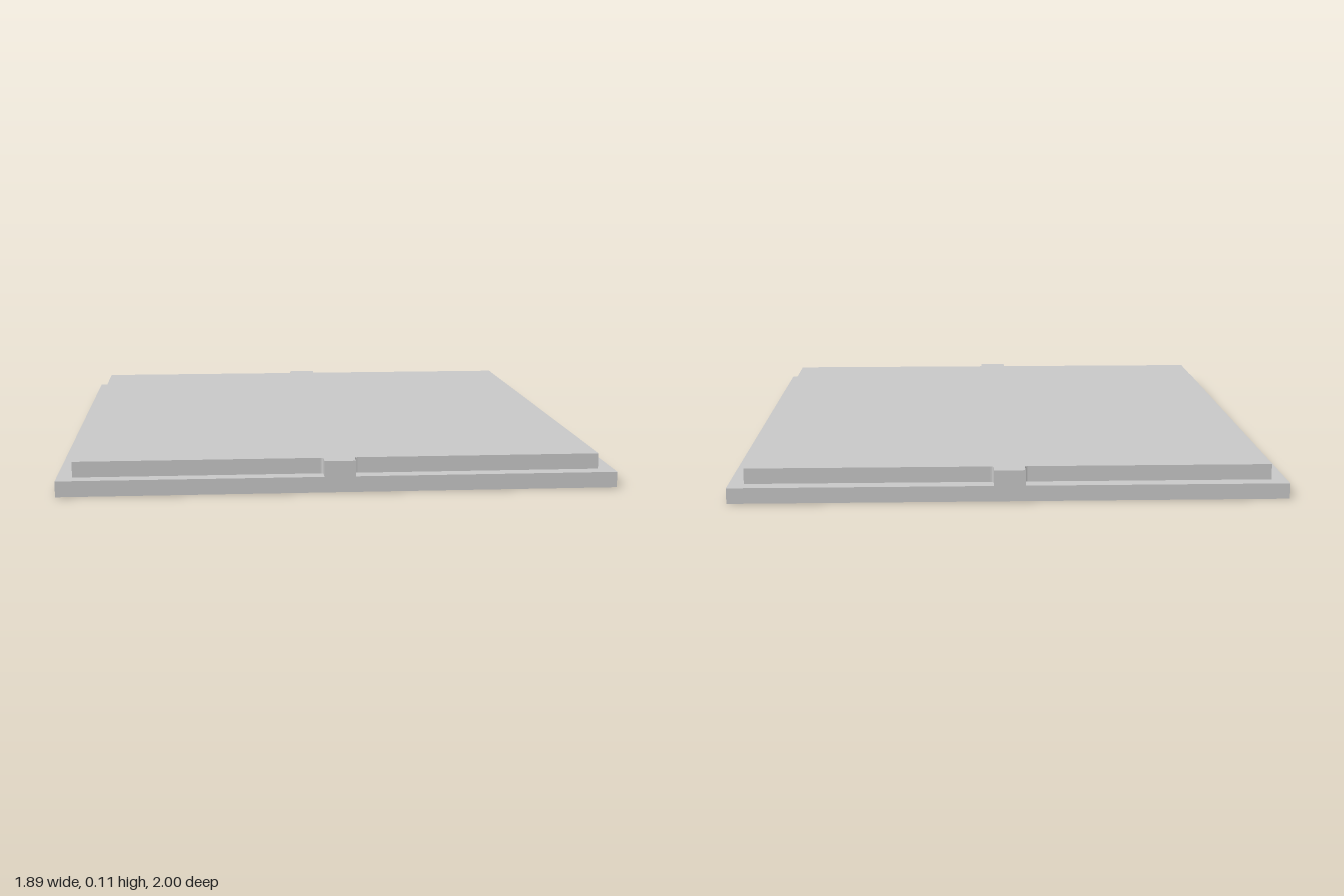
import * as THREE from 'three';

const BASE = { x: 0.945, z: 1 };      // half sizes of the lower slab
const PANEL = { x: 0.893, z: 0.946 }; // half sizes of the raised panel
const LAYER = 0.0535;                 // thickness of each layer
const TAB = 0.053;                    // half width of the end tabs
const FILLET = 0.01;                  // inner corner radius where tabs meet the panel

// Raised panel outline, with a tab reaching the slab edge at each end
function panelShape() {
  const s = new THREE.Shape();
  s.moveTo(PANEL.x, -PANEL.z);
  for (const k of [1, -1]) {
    s.lineTo(k * PANEL.x, k * PANEL.z);
    s.lineTo(k * (TAB + FILLET), k * PANEL.z);
    s.quadraticCurveTo(k * TAB, k * PANEL.z, k * TAB, k * (PANEL.z + FILLET));
    s.lineTo(k * TAB, k * BASE.z);
    s.lineTo(-k * TAB, k * BASE.z);
    s.lineTo(-k * TAB, k * (PANEL.z + FILLET));
    s.quadraticCurveTo(-k * TAB, k * PANEL.z, -k * (TAB + FILLET), k * PANEL.z);
    s.lineTo(-k * PANEL.x, k * PANEL.z);
  }
  return s;
}

export function createModel() {
  const group = new THREE.Group();
  group.name = 'panel';
  const material = new THREE.MeshStandardMaterial({ color: 0xcccccc });

  // Lower slab
  const base = new THREE.Mesh(new THREE.BoxGeometry(2 * BASE.x, LAYER, 2 * BASE.z), material);
  base.name = 'baseSlab';
  base.position.y = LAYER / 2;
  group.add(base);

  // Raised panel with tabs
  const geometry = new THREE.ExtrudeGeometry(panelShape(), { depth: LAYER, bevelEnabled: false, curveSegments: 4 });
  geometry.rotateX(-Math.PI / 2);
  const panel = new THREE.Mesh(geometry, material);
  panel.name = 'raisedPanel';
  panel.position.y = LAYER;
  group.add(panel);

  return group;
}
